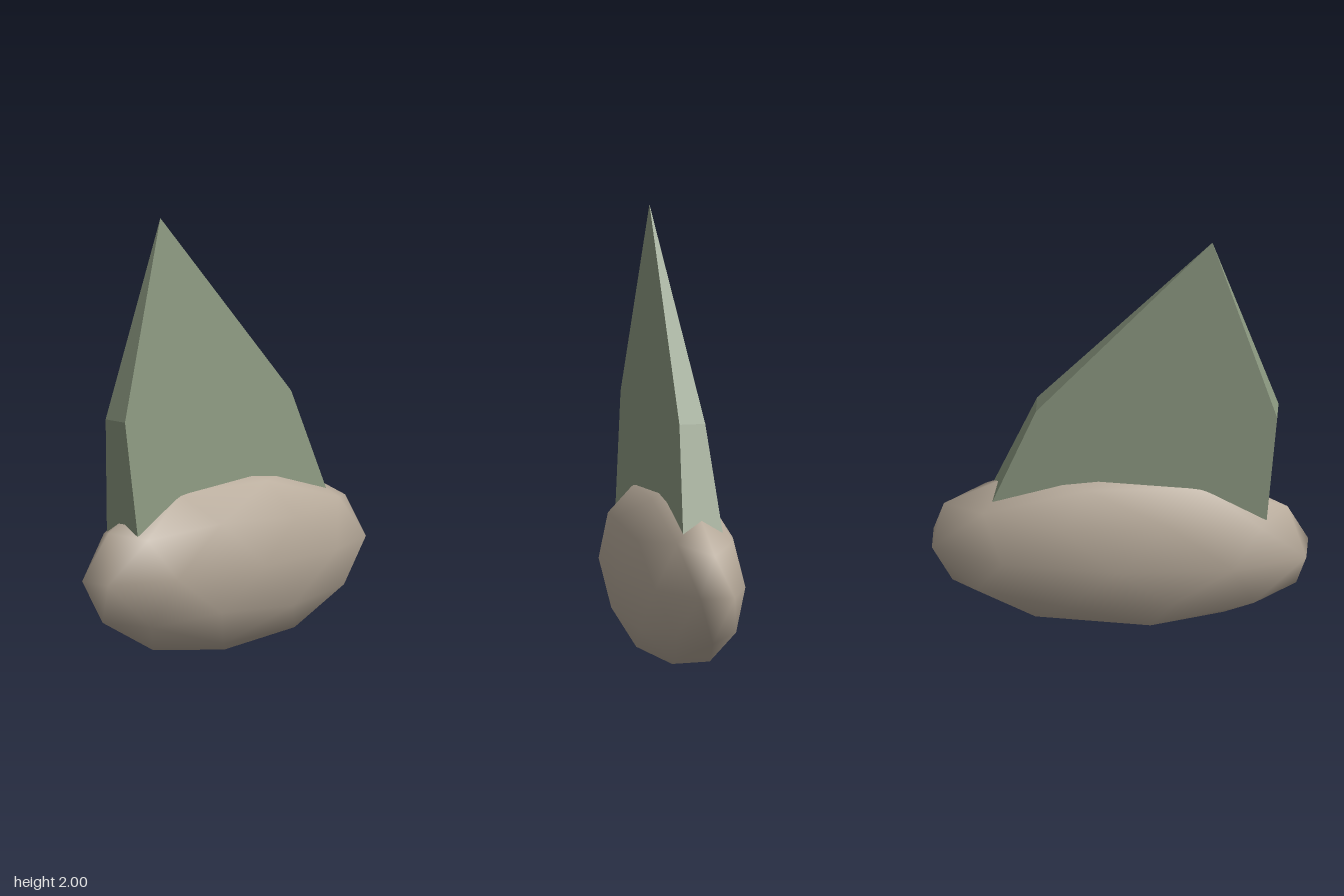
import * as THREE from 'three';

const hullMaterial = new THREE.MeshStandardMaterial({ color: 0xb8ab9b });
hullMaterial.name = 'warm stone';
const finMaterial = new THREE.MeshStandardMaterial({ color: 0x8d9a82 });
finMaterial.name = 'sage green';

// Stretched icosphere with one corner straight up
function hullGeometry() {
  const g = new THREE.IcosahedronGeometry(1, 1);
  g.rotateZ(-Math.atan(2 / (1 + Math.sqrt(5))));
  g.scale(0.873, 0.41, 0.255);
  g.translate(0, 0.41, 0);
  return g;
}

// Tapered fin: four-cornered sections [y, left, right, half depth] closed by a point
function finGeometry() {
  const sections = [
    [0.45, -0.641, 0.651, 0.105],
    [1.125, -0.7, 0.37, 0.059],
  ];
  const points = [];
  for (const [y, l, r, d] of sections) {
    points.push(r, y, d, r, y, -d, l, y, -d, l, y, d);
  }
  points.push(-0.41, 2, 0);

  const index = [0, 2, 1, 0, 3, 2]; // underside
  for (let i = 0; i < 4; i++) {
    const j = (i + 1) % 4;
    index.push(i, j, j + 4, i, j + 4, i + 4, i + 4, j + 4, 8);
  }
  const indexed = new THREE.BufferGeometry();
  indexed.setAttribute('position', new THREE.Float32BufferAttribute(points, 3));
  indexed.setIndex(index);
  const g = indexed.toNonIndexed(); // separate faces for crisp edges
  g.computeVertexNormals();
  return g;
}

export function createModel() {
  const model = new THREE.Group();
  model.name = 'finnedPod';

  const body = new THREE.Mesh(hullGeometry(), hullMaterial);
  body.name = 'body';

  const fin = new THREE.Mesh(finGeometry(), finMaterial);
  fin.name = 'fin';

  model.add(body, fin);
  return model;
}
